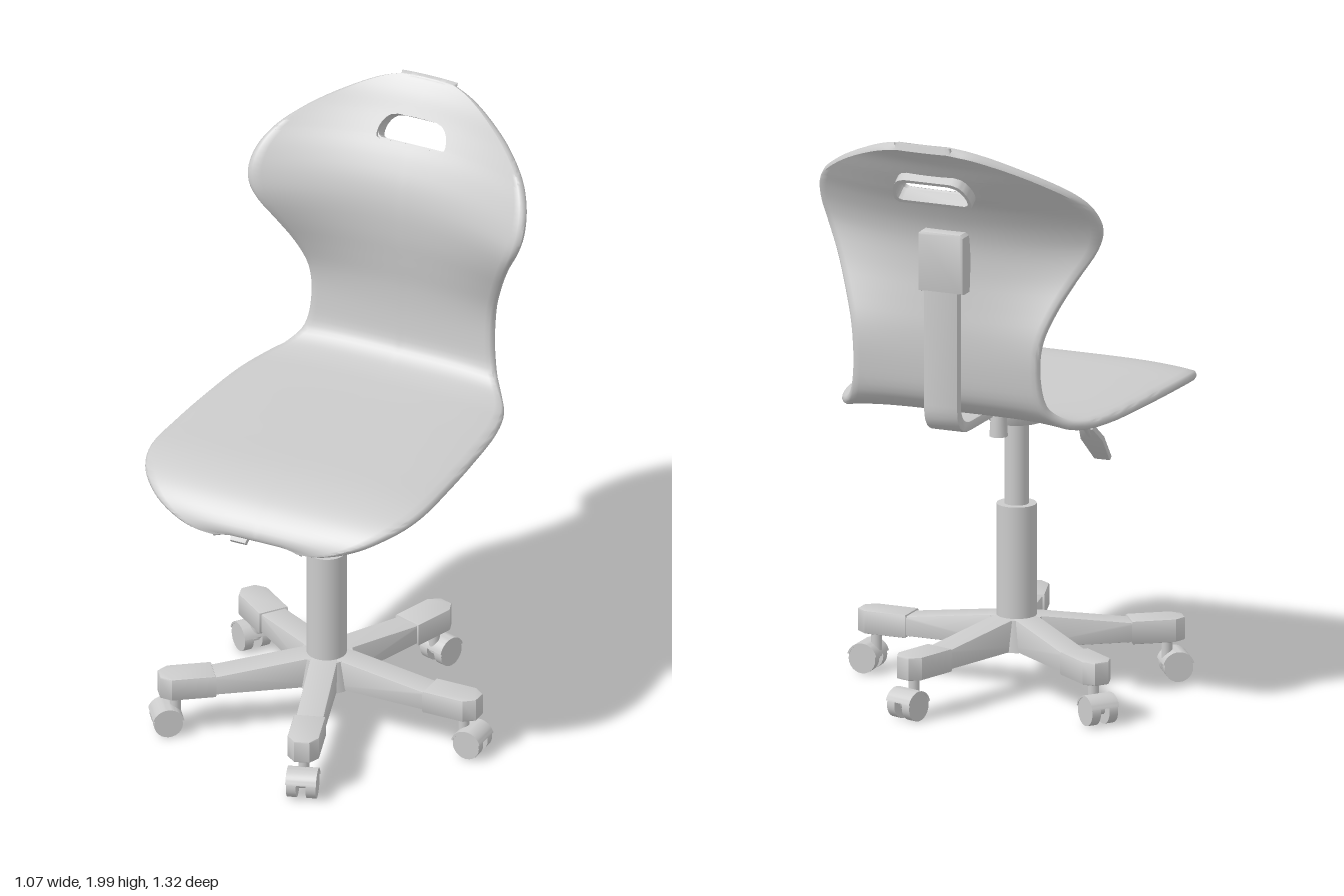
import * as THREE from 'three';
import { toCreasedNormals, mergeVertices } from 'three/addons/utils/BufferGeometryUtils.js';

const material = new THREE.MeshStandardMaterial({ color: 0xcccccc, side: THREE.DoubleSide });

function add(parent, name, geometry, x = 0, y = 0, z = 0) {
  const mesh = new THREE.Mesh(geometry, material);
  mesh.name = name;
  mesh.position.set(x, y, z);
  parent.add(mesh);
  return mesh;
}

const polygon = (pts) => new THREE.Shape(pts.map((p) => new THREE.Vector2(p[0], p[1])));

// Extrusion centred on its depth, with optional small bevel
function slab(shape, depth, bevel = 0) {
  const g = new THREE.ExtrudeGeometry(shape, {
    depth: depth - 2 * bevel, bevelEnabled: bevel > 0, bevelThickness: bevel,
    bevelSize: bevel, bevelOffset: -bevel, bevelSegments: 2, curveSegments: 10,
  });
  return toCreasedNormals(g.translate(0, 0, bevel - depth / 2), 0.6);
}

// Seat shell centre line from front lip to top of back: z, y, half width
const PROFILE = [
  [0.6, 0.915, 0.16], [0.602, 0.93, 0.26], [0.575, 0.965, 0.36], [0.53, 0.998, 0.425],
  [0.47, 1.022, 0.47], [0.38, 1.037, 0.495], [0.2, 1.04, 0.495], [0, 1.04, 0.485],
  [-0.2, 1.04, 0.465], [-0.32, 1.045, 0.43], [-0.39, 1.065, 0.385], [-0.435, 1.11, 0.345],
  [-0.452, 1.2, 0.33], [-0.455, 1.32, 0.338], [-0.445, 1.42, 0.372], [-0.435, 1.52, 0.42],
  [-0.437, 1.62, 0.475], [-0.455, 1.69, 0.495], [-0.49, 1.76, 0.485], [-0.53, 1.82, 0.445],
  [-0.57, 1.88, 0.365], [-0.605, 1.935, 0.26], [-0.632, 1.97, 0.17], [-0.647, 1.986, 0.1],
];
const SLOT = { bottom: 1.805, top: 1.88, half: 0.125 };

// Half width of the hand slot at height fraction v
function slotHalf(v) {
  if (v < 0.2) return SLOT.half - 0.015 * (1 - Math.sqrt(1 - (1 - v / 0.2) ** 2));
  return 0.07 + (SLOT.half - 0.07) * Math.sqrt(Math.max(0, 1 - ((v - 0.2) / 0.8) ** 2));
}

function shellGeometry() {
  const curve = new THREE.CatmullRomCurve3(PROFILE.map((p) => new THREE.Vector3(...p)));
  const smooth = THREE.MathUtils.smoothstep;

  // Point on the middle surface: wings wrap forward, seat edges droop
  const surface = (x, t) => {
    const c = curve.getPoint(t);
    const u = Math.min(1, Math.abs(x) / c.z);
    const droop = 0.02 * u ** 4 * (1 - smooth(c.y, 1.04, 1.15));
    return new THREE.Vector3(x, c.y - droop, c.x + 0.54 * smooth(c.y, 1.25, 1.65) * x * x);
  };
  const offset = (x, t, d) => {
    const e = 0.002, t0 = Math.max(0, t - e), t1 = Math.min(1, t + e);
    const px = surface(x + e, t).sub(surface(x - e, t));
    const pt = surface(x, t1).sub(surface(x, t0));
    return surface(x, t).addScaledVector(px.cross(pt).normalize(), d);
  };
  const paramAt = (y) => {
    let lo = 0.6, hi = 1;
    for (let i = 0; i < 40; i++) {
      const m = (lo + hi) / 2;
      if (curve.getPoint(m).y < y) lo = m; else hi = m;
    }
    return lo;
  };

  // Rows along the profile, with the slot rows inserted
  const tb = paramAt(SLOT.bottom), tt = paramAt(SLOT.top), count = (PROFILE.length - 1) * 4;
  const rows = [];
  for (let i = 0; i <= count; i++) {
    const t = i / count;
    if (t < tb - 0.003 || t > tt + 0.003) rows.push({ t, inner: 0 });
  }
  rows.push({ t: tb, inner: 0 });
  for (let i = 0; i <= 14; i++) {
    const v = i / 14;
    rows.push({ t: paramAt(SLOT.bottom + v * (SLOT.top - SLOT.bottom)), inner: slotHalf(v) });
  }
  rows.sort((a, b) => a.t - b.t || a.inner - b.inner);
  rows.push({ t: rows[rows.length - 1].t, inner: 0 });
  const last = rows.pop();
  const topIndex = rows.findLastIndex((r) => r.inner > 0);
  rows.splice(topIndex + 1, 0, { t: rows[topIndex].t, inner: 0 });
  rows.unshift({ t: 0, inner: 0, cap: -1 });
  rows.push({ t: last.t, inner: 0, cap: 1 });

  // Closed cross-section loop for one half of the shell
  const n = 18, half = 0.016;
  const loop = ({ t, inner, cap }, side) => {
    const w = curve.getPoint(t).z, pts = [];
    const put = (x, d) => {
      const p = offset(side * x, t, cap ? 0 : d * half);
      if (cap) p.addScaledVector(curve.getTangent(t).set(0, cap, cap < 0 ? 0 : -0.6), 0.011);
      pts.push(p);
    };
    const xs = Array.from({ length: n + 1 }, (_, j) => inner + (w - 0.012 - inner) * j / n);
    xs.forEach((x) => put(x, 1));
    [[0.004, 0.65], [0, 0], [0.004, -0.65]].forEach(([i, d]) => put(w - i, d));
    xs.reverse().forEach((x) => put(x, -1));
    return pts;
  };

  const pos = [];
  const tri = (a, b, c) => pos.push(...a.toArray(), ...b.toArray(), ...c.toArray());
  for (const side of [1, -1]) {
    const loops = rows.map((r) => loop(r, side));
    for (let i = 0; i < rows.length - 1; i++) {
      const A = loops[i], B = loops[i + 1], m = A.length;
      const sameRow = rows[i].t === rows[i + 1].t && !rows[i].cap && !rows[i + 1].cap;
      const open = rows[i].inner === 0 && rows[i + 1].inner === 0;
      for (let j = 0; j < m; j++) {
        const wall = j === m - 1;
        if ((wall && open) || (!wall && sameRow)) continue;
        const k = (j + 1) % m;
        if (side > 0) { tri(A[j], A[k], B[k]); tri(A[j], B[k], B[j]); }
        else { tri(A[j], B[k], A[k]); tri(A[j], B[j], B[k]); }
      }
    }
  }
  const g = new THREE.BufferGeometry();
  g.setAttribute('position', new THREE.Float32BufferAttribute(pos, 3));
  return toCreasedNormals(mergeVertices(g, 1e-5), 0.8);
}

// D-shaped slot outline in the plane of the back
function slotOutline(grow) {
  const h = (SLOT.top - SLOT.bottom) / 0.87, right = [];
  for (let i = 0; i <= 14; i++) {
    const v = i / 14;
    right.push([slotHalf(v) + grow, (v - 0.5) * (h + 2 * grow)]);
  }
  return right.concat(right.map(([x, y]) => [-x, y]).reverse());
}

// One twin-wheel caster, rolling along local x
function caster() {
  const g = new THREE.Group();
  g.name = 'caster';
  add(g, 'casterStem', new THREE.CylinderGeometry(0.018, 0.018, 0.09, 16), 0.495, 0.1, 0);
  add(g, 'casterAxle', new THREE.CylinderGeometry(0.018, 0.018, 0.08, 12).rotateX(Math.PI / 2), 0.525, 0.052, 0);
  for (const s of [1, -1]) {
    add(g, 'wheel', new THREE.CylinderGeometry(0.047, 0.047, 0.032, 24).rotateX(Math.PI / 2), 0.525, 0.05, s * 0.032);
  }
  const hood = new THREE.Shape();
  hood.absarc(0, 0, 0.053, 0.3, 2.9, false);
  hood.absarc(0, 0, 0.047, 2.9, 0.3, true);
  add(g, 'casterHood', slab(hood, 0.1), 0.525, 0.05, 0);
  add(g, 'casterFork', new THREE.BoxGeometry(0.05, 0.05, 0.02), 0.512, 0.07, 0);
  return g;
}

export function createModel() {
  const chair = new THREE.Group();
  chair.name = 'swivelChair';
  const body = new THREE.Group();
  body.name = 'chairBody';
  body.position.x = -0.04;
  chair.add(body);

  // Moulded seat and back with rim around the hand slot
  add(body, 'seatShell', shellGeometry());
  const rim = polygon(slotOutline(0.012));
  rim.holes.push(new THREE.Path(slotOutline(0).map((p) => new THREE.Vector2(...p))));
  add(body, 'handSlotRim', slab(rim, 0.05), 0, 1.833, -0.563).rotation.x = -0.58;

  // J-shaped support bar under the seat and up the back
  const bar = new THREE.Shape();
  bar.moveTo(-0.05, 0.99).lineTo(0.4, 0.99);
  bar.quadraticCurveTo(0.505, 0.99, 0.505, 1.09);
  bar.lineTo(0.505, 1.55).lineTo(0.473, 1.55).lineTo(0.473, 1.1);
  bar.quadraticCurveTo(0.473, 1.022, 0.39, 1.022);
  bar.lineTo(-0.05, 1.022);
  add(body, 'supportBar', slab(bar, 0.12, 0.005).rotateY(Math.PI / 2));
  const bracket = polygon([[-0.08, -0.1], [0.08, -0.1], [0.08, 0.09], [0.07, 0.1], [-0.07, 0.1], [-0.08, 0.09]]);
  add(body, 'backBracket', slab(bracket, 0.065, 0.006), 0, 1.57, -0.474);
  add(body, 'tensionKnob', new THREE.CylinderGeometry(0.024, 0.03, 0.1, 20), -0.07, 0.975, -0.2);

  // Swivel housing, gas column
  const housing = [[0, 0.9], [0.09, 0.9], [0.108, 0.935], [0.115, 0.985], [0.115, 1.03], [0, 1.03]];
  add(body, 'swivelHousing', toCreasedNormals(
    new THREE.LatheGeometry(housing.map((p) => new THREE.Vector2(...p)), 40), 0.6), 0, 0, 0.1);
  add(body, 'innerColumn', new THREE.CylinderGeometry(0.04, 0.04, 0.32, 28), 0, 0.76, 0.1);
  add(body, 'outerColumn', new THREE.CylinderGeometry(0.065, 0.065, 0.42, 32), 0, 0.41, 0.1);

  // Height lever
  const leverPath = new THREE.CatmullRomCurve3([[-0.06, 0.97, 0.12], [-0.16, 0.945, 0.13],
    [-0.19, 0.9, 0.175], [-0.19, 0.83, 0.255]].map((p) => new THREE.Vector3(...p)));
  add(body, 'leverRod', new THREE.TubeGeometry(leverPath, 24, 0.011, 10));
  const paddle = polygon([[-0.025, 0], [-0.04, -0.07], [-0.028, -0.19], [0.028, -0.19], [0.04, -0.07], [0.025, 0]]);
  add(body, 'leverPaddle', slab(paddle, 0.02, 0.004), -0.19, 0.865, 0.225).rotation.x = -0.77;

  // Five-star base with end caps and casters
  const armSide = polygon([[0, 0.143], [0.4, 0.143], [0.4, 0.207], [0.36, 0.21], [0.08, 0.248], [0, 0.248]]);
  const capPlan = polygon([[0.37, -0.052], [0.515, -0.052], [0.55, -0.025], [0.55, 0.025], [0.515, 0.052], [0.37, 0.052]]);
  const armGeometry = slab(armSide, 0.09, 0.005);
  const capGeometry = slab(capPlan, 0.078, 0.006).rotateX(-Math.PI / 2);
  for (let i = 0; i < 5; i++) {
    const leg = new THREE.Group();
    leg.name = 'baseLeg';
    leg.position.z = 0.1;
    leg.rotation.y = i * Math.PI * 0.4;
    add(leg, 'baseArm', armGeometry);
    add(leg, 'armCap', capGeometry, 0, 0.176, 0);
    leg.add(caster());
    body.add(leg);
  }
  add(body, 'baseHub', new THREE.CylinderGeometry(0.085, 0.1, 0.104, 30), 0, 0.195, 0.1);
  return chair;
}
